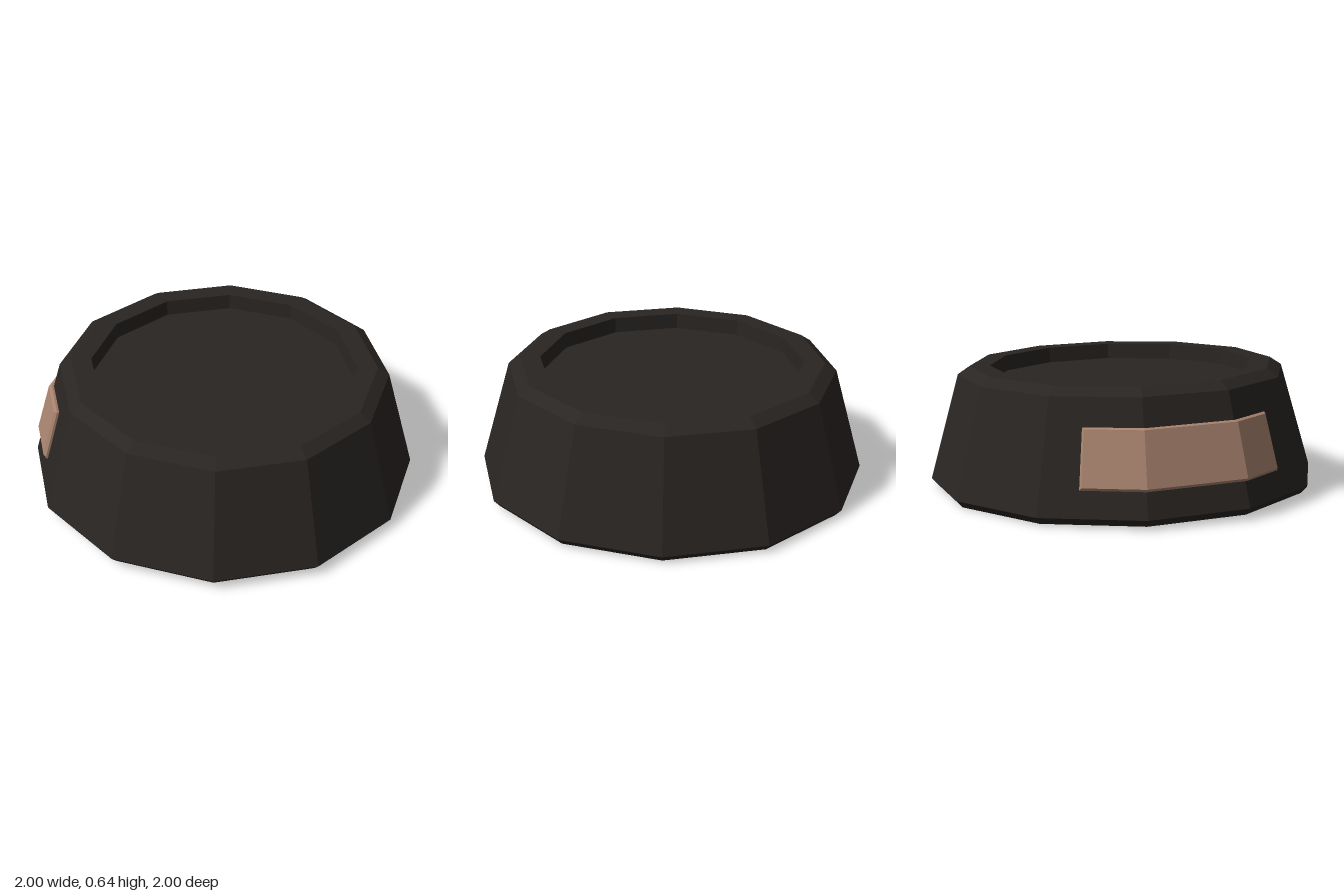
import * as THREE from 'three';

const SIDES = 12;
const BASE = { r: 1, y: 0.05 };
const SHOULDER = { r: 0.845, y: 0.592 };

// Radius of the sloping wall at a given height
const wallRadius = (y) =>
  THREE.MathUtils.mapLinear(y, BASE.y, SHOULDER.y, BASE.r, SHOULDER.r);

// Twelve-sided bowl with chamfered edges and a shallow recess on top
function makeBowl(material) {
  const profile = [
    [0, 0.014], [0.968, 0.014], [BASE.r, BASE.y], [SHOULDER.r, SHOULDER.y],
    [0.785, 0.632], [0.68, 0.632], [0.675, 0.55], [0, 0.55],
  ].map(([r, y]) => new THREE.Vector2(r, y));
  const bowl = new THREE.Mesh(new THREE.LatheGeometry(profile, SIDES), material);
  bowl.name = 'bowl';
  return bowl;
}

// Point on the unit twelve-sided outline; t counts corners from -x towards the back
function outline(t) {
  const corner = (k) => {
    const a = (k * 2 * Math.PI) / SIDES;
    return new THREE.Vector2(-Math.cos(a), -Math.sin(a));
  };
  const k = Math.floor(t);
  return corner(k).lerp(corner(k + 1), t - k);
}

// Bevelled strip that follows the wall around two corners
function makeNamePlate(material) {
  const bevel = 0.012, face = 0.025;
  const section = (depth) => [
    [0.175, -0.05], [0.175, bevel], [0.185, depth],
    [0.445, depth], [0.455, bevel], [0.455, -0.05],
  ].map(([y, o]) => [wallRadius(y) + o * 0.96, y + o * 0.27]);
  const stations = [
    [-0.53, bevel], [-0.505, face], [0, face],
    [1, face], [1.595, face], [1.62, bevel],
  ];

  const positions = [], index = [];
  for (const [t, depth] of stations) {
    const p = outline(t);
    for (const [r, y] of section(depth)) positions.push(p.x * r, y, p.y * r);
  }
  const n = 6, last = (stations.length - 1) * n;
  for (let i = 0; i < last; i += n) {
    for (let j = 0; j < n; j++) {
      const a = i + j, c = i + ((j + 1) % n);
      index.push(a, c, a + n, c, c + n, a + n);
    }
  }
  // End caps
  for (let j = 1; j < n - 1; j++) {
    index.push(0, j + 1, j, last, last + j, last + j + 1);
  }

  const geometry = new THREE.BufferGeometry();
  geometry.setAttribute('position', new THREE.Float32BufferAttribute(positions, 3));
  geometry.setIndex(index);
  geometry.computeVertexNormals();
  const plate = new THREE.Mesh(geometry, material);
  plate.name = 'namePlate';
  return plate;
}

export function createModel() {
  const dark = new THREE.MeshStandardMaterial({ color: 0x292522, flatShading: true });
  const tan = new THREE.MeshStandardMaterial({ color: 0xa8836e, flatShading: true });
  const model = new THREE.Group();
  model.name = 'petBowl';

  // The bowl rests at a very slight tilt
  const tilted = new THREE.Group();
  tilted.name = 'tiltedBowl';
  tilted.rotation.set(-0.013, 0, -0.006);
  tilted.add(makeBowl(dark), makeNamePlate(tan));
  model.add(tilted);
  return model;
}
